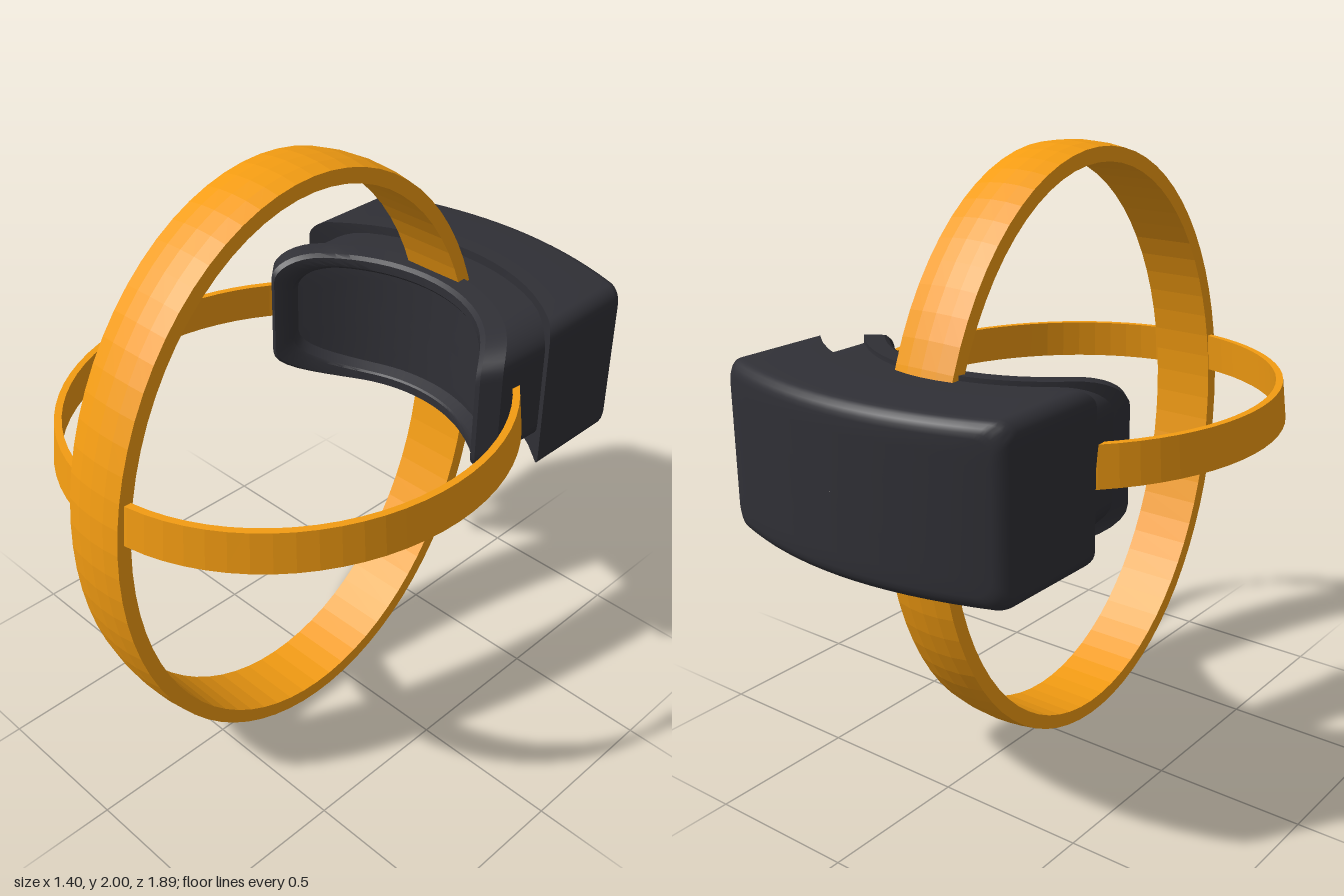
import * as THREE from 'three';
import { toCreasedNormals } from 'three/addons/utils/BufferGeometryUtils.js';

const MID_Y = 1.165;   // height of the visor's centre
const ARC_Z = 0.045;   // centre of the face curvature

// Skin a list of closed loops; wrap joins the last loop to the first
function skin(rows, wrap, crease) {
  const n = rows[0].length, idx = [];
  const last = wrap ? rows.length : rows.length - 1;
  for (let i = 0; i < last; i++) {
    const p = i * n, q = ((i + 1) % rows.length) * n;
    for (let j = 0; j < n; j++) {
      const k = (j + 1) % n;
      idx.push(p + j, q + j, q + k, p + j, q + k, p + k);
    }
  }
  const g = new THREE.BufferGeometry();
  g.setAttribute('position', new THREE.Float32BufferAttribute(rows.flat(2), 3));
  g.setIndex(idx);
  return toCreasedNormals(g, crease);
}

// Rounded rectangle, counter-clockwise, with separate top and bottom corners [ru, rv]
function roundedLoop(w, h, top, bottom) {
  const corners = [[1, 1, top], [-1, 1, top], [-1, -1, bottom], [1, -1, bottom]];
  const pts = [];
  corners.forEach(([sx, sy, [ru, rv]], c) => {
    for (let i = 0; i <= 8; i++) {
      const a = (c + i / 8) * Math.PI / 2;
      pts.push([sx * (w - ru) + ru * Math.cos(a), sy * (h - rv) + rv * Math.sin(a)]);
    }
    // subdivide the straight run to the next corner so it can be bent
    const [nx, ny, [nu, nv]] = corners[(c + 1) % 4];
    const a = (c + 1) * Math.PI / 2;
    const end = [nx * (w - nu) + nu * Math.cos(a), ny * (h - nv) + nv * Math.sin(a)];
    const start = pts[pts.length - 1];
    for (let i = 1; i < 16; i++) {
      pts.push([0, 1].map(k => start[k] + (end[k] - start[k]) * i / 16));
    }
  });
  return pts;
}

// Concentric loops that fill a cap
const CAP = [0.001, 0.2, 0.4, 0.6, 0.8];
const scaled = (loop, s) => loop.map(([u, v]) => [u * s, v * s]);

// Elliptical hoop; profile points are [radial offset, sideways offset]
function hoop(ra, rb, profile) {
  const rows = [];
  for (let i = 0; i < 72; i++) {
    const t = i / 72 * Math.PI * 2;
    rows.push(profile.map(([d, l]) => [(ra + d) * Math.cos(t), (rb + d) * Math.sin(t), l]));
  }
  return skin(rows, true, 0.06);
}

// Visor housing: concave front, gently bowed back, rounded rear rim
function housingGeometry() {
  const front = x => ARC_Z - Math.sqrt(0.725 ** 2 - x * x);
  const back = x => -0.95 + 0.4 * x * x;
  const loop = inset => roundedLoop(0.53 - inset, 0.265 - inset, [0.05, 0.05], [0.05, 0.05]);
  const place = (pts, z) => pts.map(([x, y]) => [x, MID_Y + y, z(x)]);
  const rows = CAP.map(s => place(scaled(loop(0), s), front));
  rows.push(place(loop(0), front));
  const r = 0.045;
  for (let i = 0; i <= 5; i++) {
    const a = i / 5 * Math.PI / 2;
    rows.push(place(loop(r * (1 - Math.cos(a))), x => back(x) + r * (1 - Math.sin(a))));
  }
  [...CAP].reverse().forEach(s => rows.push(place(scaled(loop(r), s), back)));
  return skin(rows, false, 0.6);
}

// Face cushion: recessed panel, raised lip and narrower neck, bent around the face
function cushionGeometry() {
  const section = (R, angle, h) =>
    roundedLoop(angle * R, h, [0.17, 0.085], [0.3, 0.115]);
  const bend = (pts, R) => pts.map(([u, v]) =>
    [R * Math.sin(u / R), MID_Y + v, ARC_Z - R * Math.cos(u / R)]);
  const rows = CAP.map(s => bend(scaled(section(0.555, 0.9, 0.185), s), 0.555));
  const steps = [ // radius, half angle, half height
    [0.555, 0.9, 0.185], [0.515, 0.94, 0.198], [0.51, 0.97, 0.205],
    [0.51, 1.07, 0.235], [0.525, 1.08, 0.245], [0.59, 1.04, 0.25],
    [0.59, 0.955, 0.235], [0.66, 0.83, 0.235], [0.74, 0.73, 0.235],
  ];
  steps.forEach(([R, a, h]) => rows.push(bend(section(R, a, h), R)));
  return skin(rows, false, 0.5);
}

export function createModel() {
  const model = new THREE.Group();
  const dark = new THREE.MeshStandardMaterial({ color: 0x303036 });
  const orange = new THREE.MeshStandardMaterial({ color: 0xf39c12 });
  const add = (name, geometry, material) => {
    const mesh = new THREE.Mesh(geometry, material);
    mesh.name = name;
    model.add(mesh);
    return mesh;
  };

  add('visorHousing', housingGeometry(), dark);
  add('faceCushion', cushionGeometry(), dark);

  // Tall strap with a slightly crowned outer face
  const tall = hoop(0.79, 1.0, [
    [-0.012, -0.11], [-0.003, -0.055], [0, 0], [-0.003, 0.055], [-0.012, 0.11],
    [-0.06, 0.11], [-0.06, -0.11],
  ]);
  tall.rotateY(Math.PI / 2);
  add('verticalStrap', tall, orange).position.set(0, 1, 0.15);

  // Level strap, slightly conical with the wider edge below
  const level = hoop(0.7, 0.76, [
    [0, -0.065], [-0.015, 0.065], [-0.038, 0.065], [-0.023, -0.065],
  ]);
  level.rotateX(-Math.PI / 2);
  add('horizontalStrap', level, orange).position.set(0, 1.178, 0.15);

  return model;
}
